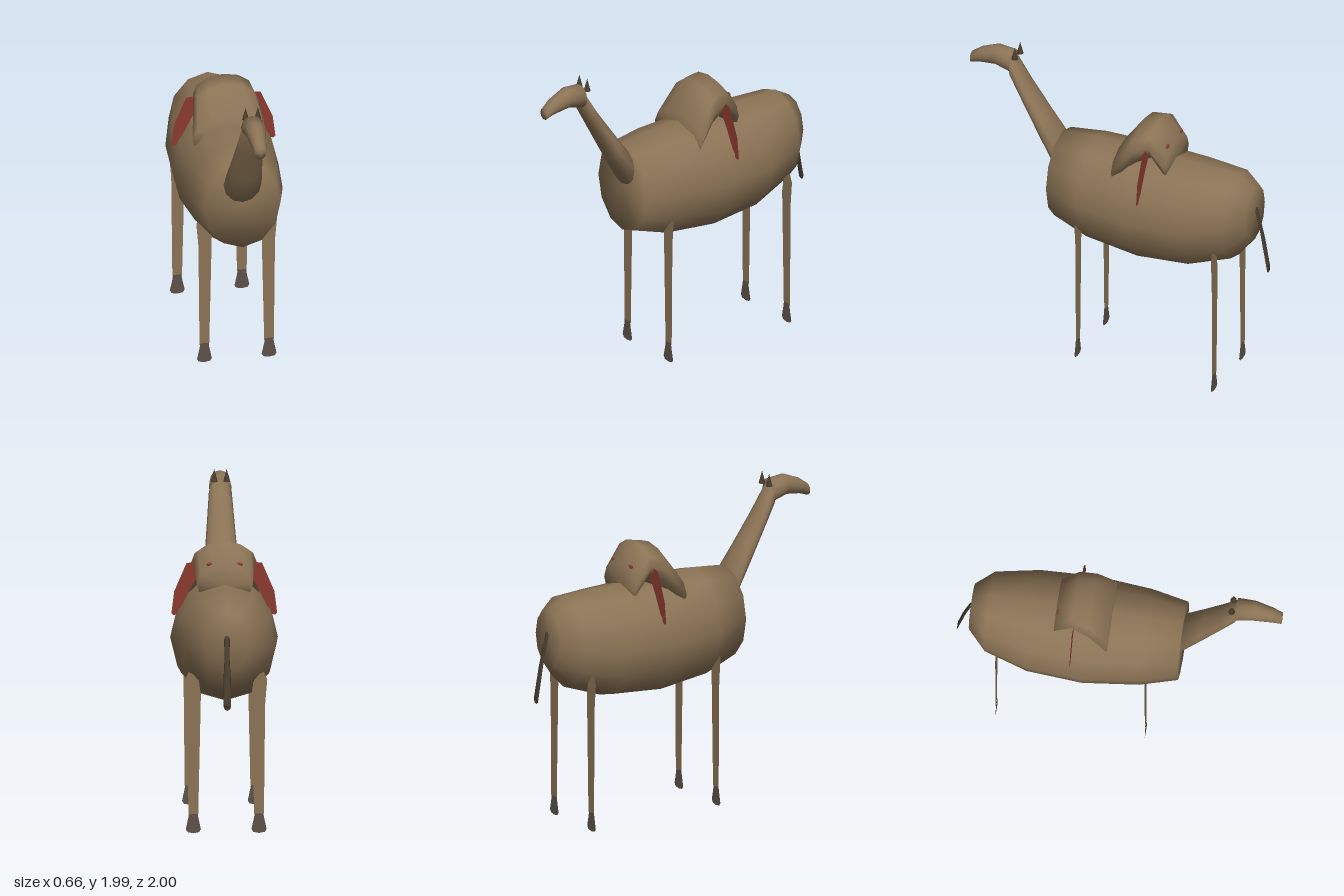
import * as THREE from 'three';

const mat = (color) => new THREE.MeshStandardMaterial({ color, side: THREE.DoubleSide });
const hide = mat(0x8b7355), dark = mat(0x4a3d2e), hoofMat = mat(0x5c5148), red = mat(0x8b3a2f);

// Smooth closed loft through upright elliptical rings [z, bottom, top, halfWidth], z ascending
function loft(rings, sides = 12) {
  const pos = [], idx = [];
  for (const [z, lo, hi, rx] of rings) {
    for (let j = 0; j < sides; j++) {
      const a = (j / sides) * Math.PI * 2;
      pos.push(rx * Math.cos(a), (lo + hi) / 2 + ((hi - lo) / 2) * Math.sin(a), z);
    }
  }
  const n = rings.length, first = n * sides, last = first + 1;
  for (const [z, lo, hi] of [rings[0], rings[n - 1]]) pos.push(0, (lo + hi) / 2, z);
  for (let j = 0; j < sides; j++) {
    const k = (j + 1) % sides, e = (n - 1) * sides;
    for (let i = 0; i < n - 1; i++) {
      const a = i * sides + j, b = i * sides + k;
      idx.push(a, b, a + sides, b, b + sides, a + sides);
    }
    idx.push(first, k, j, last, e + j, e + k);
  }
  const g = new THREE.BufferGeometry();
  g.setAttribute('position', new THREE.Float32BufferAttribute(pos, 3));
  g.setIndex(idx);
  g.computeVertexNormals();
  return g;
}

// Flat sheet facing z
const sheet = (pts) => new THREE.ShapeGeometry(new THREE.Shape(pts.map(([x, y]) => new THREE.Vector2(x, y))));

export function createModel() {
  const model = new THREE.Group();
  const add = (name, geo, material, x = 0, y = 0, z = 0) => {
    const m = new THREE.Mesh(geo, material);
    m.name = name;
    m.position.set(x, y, z);
    model.add(m);
    return m;
  };

  // Barrel body
  add('body', loft([
    [-0.91, 1.03, 1.40, 0.135], [-0.80, 0.885, 1.465, 0.24], [-0.53, 0.785, 1.47, 0.31],
    [-0.19, 0.755, 1.475, 0.328], [0.16, 0.79, 1.475, 0.29], [0.39, 0.87, 1.45, 0.235],
  ]), hide);

  // Neck and head
  add('neck', loft([
    [0.39, 1.18, 1.43, 0.118], [0.51, 1.385, 1.595, 0.1],
    [0.63, 1.60, 1.765, 0.083], [0.72, 1.76, 1.91, 0.07],
  ]), hide);
  add('head', loft([
    [0.72, 1.79, 1.94, 0.07], [0.83, 1.82, 1.95, 0.062],
    [0.94, 1.805, 1.905, 0.046], [1.0, 1.785, 1.86, 0.035],
  ]), hide);

  // Hump
  add('hump', loft([
    [-0.38, 1.34, 1.60, 0.17], [-0.275, 1.485, 1.72, 0.185],
    [-0.17, 1.42, 1.70, 0.205], [-0.045, 1.26, 1.53, 0.23],
  ]), hide);

  // Tail
  add('tail', loft([
    [-1.0, 0.81, 0.87, 0.024], [-0.97, 0.97, 1.05, 0.022],
    [-0.945, 1.1, 1.17, 0.015], [-0.92, 1.21, 1.26, 0.018],
  ], 8), dark);

  for (const s of [1, -1]) {
    const side = s > 0 ? 'left' : 'right';

    // Ears
    add(side + 'Ear', new THREE.ConeGeometry(0.021, 0.08, 8), dark, s * 0.038, 1.945, 0.695);

    // Flat legs with flared hooves
    for (const [end, z] of [['Front', 0.19], ['Rear', -0.73]]) {
      add(side + end + 'Leg', sheet([
        [-0.03, 0.12], [0.03, 0.12], [0.037, 0.8], [0.05, 0.95], [0.03, 1.0], [-0.03, 0.97], [-0.046, 0.86],
      ]), hide, s * 0.2, 0, z).scale.x = s;
      add(side + end + 'Hoof', sheet([
        [-0.026, 0.13], [-0.03, 0.1], [-0.046, 0.025], [-0.035, 0.007], [0, 0],
        [0.035, 0.007], [0.046, 0.025], [0.03, 0.1], [0.026, 0.13],
      ]), hoofMat, s * 0.2, 0, z + 0.002);
    }

    // Red cloth flaps hanging from the hump
    add(side + 'ClothFlap', sheet([
      [0.1, 1.6], [0.23, 1.585], [0.305, 1.41], [0.322, 1.275], [0.31, 1.262], [0.285, 1.27], [0.2, 1.44],
    ]), red, 0, 0, -0.26).scale.x = s;

    // Small red studs on the back of the hump
    add(side + 'Stud', new THREE.SphereGeometry(0.02, 10, 6), red, s * 0.09, 1.595, -0.362).scale.set(1, 0.6, 0.5);
  }
  return model;
}
